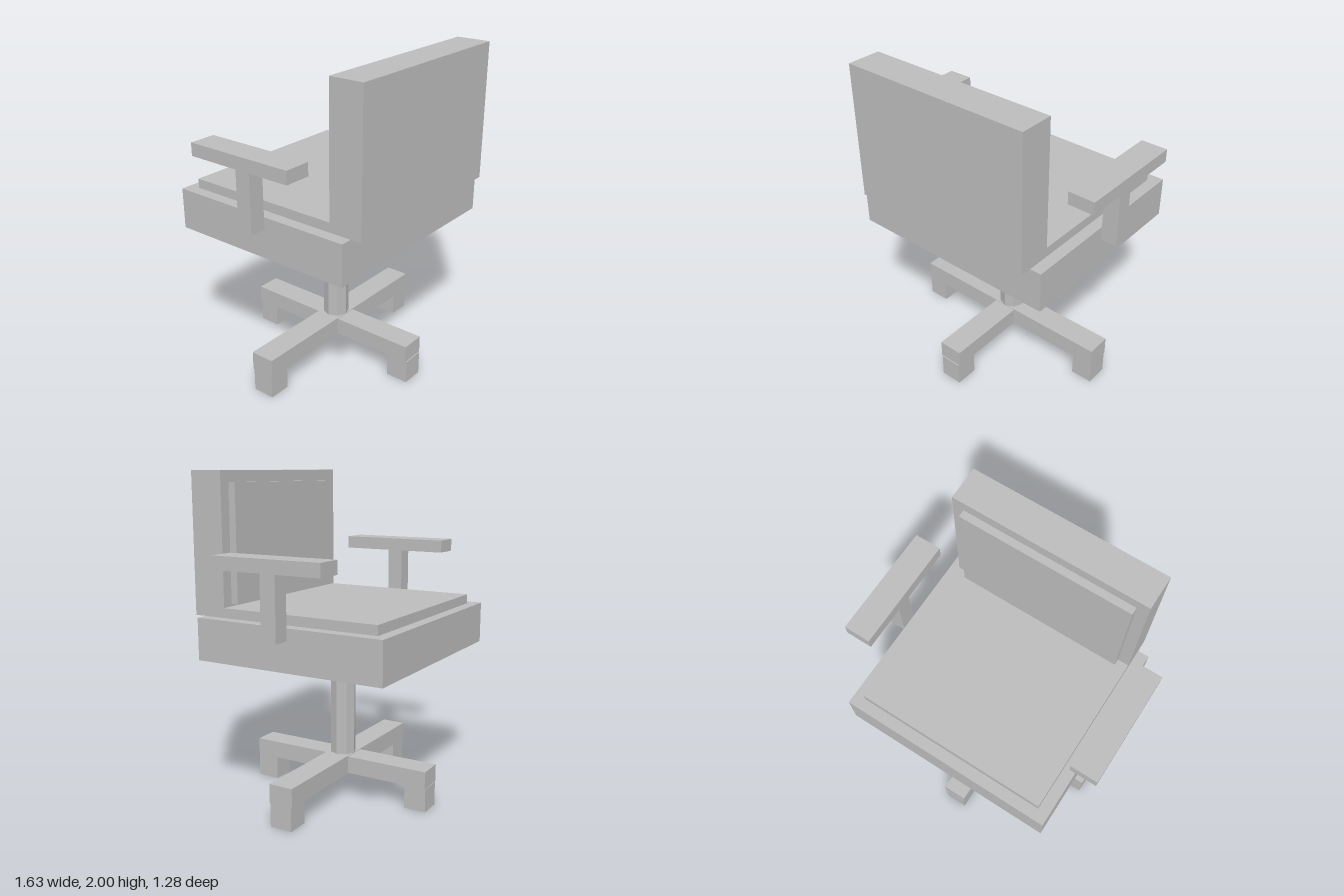
import * as THREE from 'three';

export function createModel() {
  const chair = new THREE.Group();
  chair.name = 'swivelChair';
  const grey = new THREE.MeshStandardMaterial({ color: 0xbcbcbc });
  grey.name = 'plain grey';

  // Box given by its extents along x, y and z
  const block = (name, [x0, x1], [y0, y1], [z0, z1]) => {
    const mesh = new THREE.Mesh(new THREE.BoxGeometry(x1 - x0, y1 - y0, z1 - z0), grey);
    mesh.position.set((x0 + x1) / 2, (y0 + y1) / 2, (z0 + z1) / 2);
    mesh.name = name;
    chair.add(mesh);
  };

  // Seat and backrest with their cushions
  block('seat', [-0.673, 0.671], [0.912, 1.164], [-0.64, 0.57]);
  block('seatCushion', [-0.602, 0.6], [1.164, 1.222], [-0.572, 0.44]);
  block('backrest', [-0.602, 0.6], [1.164, 2], [0.43, 0.64]);
  block('backCushion', [-0.533, 0.53], [1.236, 1.932], [0.385, 0.43]);

  // Armrests
  for (const [side, s] of [['left', 1], ['right', -1]]) {
    const span = (a, b) => (s > 0 ? [a, b] : [-b, -a]);
    block(side + 'ArmPad', span(0.653, 0.817), [1.472, 1.55], [-0.362, 0.334]);
    block(side + 'ArmPost', span(0.684, 0.785), [1.096, 1.472], [-0.061, 0.037]);
  }

  // Eight-sided column
  const octagon = new THREE.CylinderGeometry(0.08, 0.08, 0.67, 8).toNonIndexed();
  octagon.computeVertexNormals();
  const column = new THREE.Mesh(octagon, grey);
  column.position.set(0, 0.58, -0.01);
  column.name = 'column';
  chair.add(column);

  // Crossed base
  block('sideBaseBar', [-0.697, 0.695], [0.143, 0.259], [-0.088, 0.065]);
  block('lengthBaseBar', [-0.079, 0.075], [0.148, 0.255], [-0.614, 0.592]);

  // Feet under the four ends
  const footHeight = [0, 0.146];
  block('rightFoot', [-0.697, -0.56], footHeight, [-0.08, 0.06]);
  block('leftFoot', [0.557, 0.695], footHeight, [-0.08, 0.06]);
  block('frontFoot', [-0.07, 0.067], footHeight, [0.455, 0.597]);
  block('backFoot', [-0.07, 0.067], footHeight, [-0.615, -0.477]);

  return chair;
}
